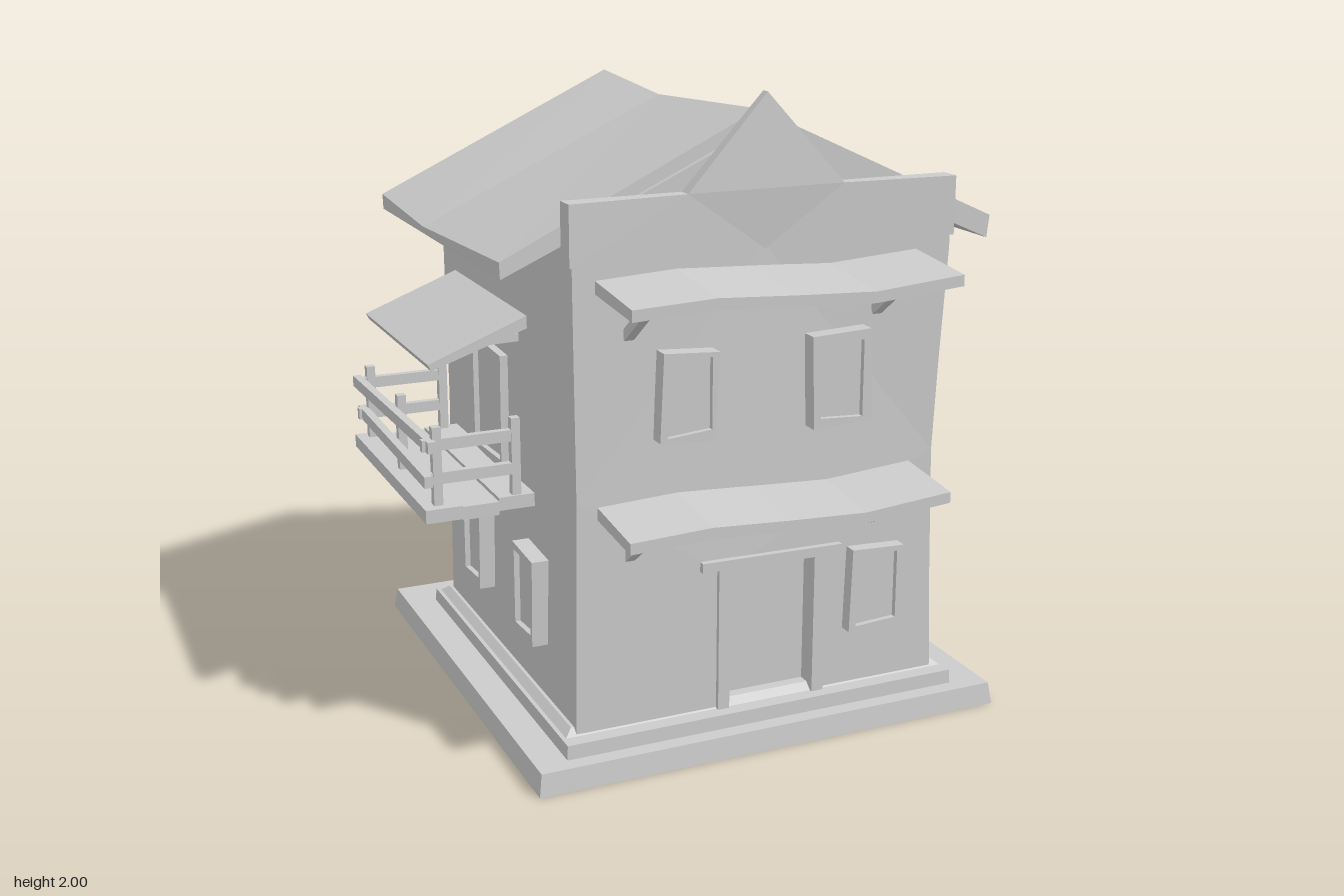
import * as THREE from 'three';

const mat = new THREE.MeshStandardMaterial({ color: 0xcccccc, flatShading: true, side: THREE.DoubleSide });

function add(parent, name, geometry) {
  const mesh = new THREE.Mesh(geometry, mat);
  mesh.name = name;
  parent.add(mesh);
  return mesh;
}

// Box given by its limits on each axis
function box(parent, name, [x0, x1], [y0, y1], [z0, z1]) {
  const m = add(parent, name, new THREE.BoxGeometry(x1 - x0, y1 - y0, z1 - z0));
  m.position.set((x0 + x1) / 2, (y0 + y1) / 2, (z0 + z1) / 2);
  return m;
}

// Box open at the bottom, whose top is drawn in by an inset
function taperedTray(parent, name, xs, ys, zs, inset) {
  const { geometry } = box(parent, name, xs, ys, zs), p = geometry.attributes.position;
  for (let i = 0; i < p.count; i++) {
    if (p.getY(i) < 0) continue;
    p.setX(i, p.getX(i) - Math.sign(p.getX(i)) * inset);
    p.setZ(i, p.getZ(i) - Math.sign(p.getZ(i)) * inset);
  }
  geometry.setIndex([...geometry.index.array].filter((_, i) => i < 18 || i > 23));
  geometry.clearGroups();
  geometry.computeVertexNormals();
}

const shapeOf = pts => new THREE.Shape(pts.map(p => new THREE.Vector2(...p)));

// Outline in x, y pulled from z0 to z1
function prism(parent, name, pts, z0, z1) {
  const g = new THREE.ExtrudeGeometry(shapeOf(pts), { depth: z1 - z0, bevelEnabled: false });
  g.translate(0, 0, z0);
  return add(parent, name, g);
}

// Push the front face back towards its middle, more so higher up
function hollowFront({ geometry }, amount) {
  const p = geometry.attributes.position;
  for (let i = 0; i < p.count; i++) {
    if (p.getZ(i) < 0.56) continue;
    const across = Math.max(0, 1 - Math.abs(p.getX(i) - 0.085) / 0.61);
    const up = THREE.MathUtils.clamp((p.getY(i) - 0.58) / 0.9, 0, 1);
    p.setZ(i, p.getZ(i) - amount * across * up);
  }
  geometry.computeVertexNormals();
}

// Closed solid through a row of matching cross-sections, with the triangles of its end caps
function loft(parent, name, sections, caps) {
  const n = sections[0].length, index = [];
  for (let s = 0; s < sections.length - 1; s++) for (let i = 0; i < n; i++) {
    const a = s * n + i, b = s * n + (i + 1) % n;
    index.push(a, b, b + n, a, b + n, a + n);
  }
  const last = (sections.length - 1) * n;
  for (const [a, b, c] of caps) index.push(a, c, b, last + a, last + b, last + c);
  const g = new THREE.BufferGeometry();
  g.setAttribute('position', new THREE.Float32BufferAttribute(sections.flat(2), 3));
  g.setIndex(index);
  const faceted = g.toNonIndexed();
  faceted.computeVertexNormals();
  add(parent, name, faceted);
}

// Straight square bar between two points
function bar(parent, name, a, b, w) {
  const A = new THREE.Vector3(...a), B = new THREE.Vector3(...b);
  const m = add(parent, name, new THREE.BoxGeometry(w, w, A.distanceTo(B)));
  m.position.copy(A).lerp(B, 0.5);
  m.lookAt(B);
}

// Slightly crooked framed window facing +z, centred on its group
function framedWindow(parent, name, w, h, skew = 0.01, depth = 0.055) {
  const g = new THREE.Group(), a = w / 2, b = h / 2, t = 0.024;
  g.name = name;
  const outer = shapeOf([[-a, -b + skew], [a - skew, -b], [a, b - skew], [-a + skew, b]]);
  outer.holes.push(new THREE.Path([[-a + t, -b + t], [-a + t, b - t], [a - t, b - t], [a - t, -b + t + skew]]
    .map(p => new THREE.Vector2(...p))));
  add(g, 'windowFrame', new THREE.ExtrudeGeometry(outer, { depth, bevelEnabled: false })).position.z = -0.01;
  box(g, 'windowPane', [-a + 0.012, a - 0.012], [-b + 0.017, b - 0.017], [-0.01, depth - 0.028]);
  parent.add(g);
  return g;
}

export function createModel() {
  const house = new THREE.Group();
  house.name = 'house';

  // Stepped base, hollow underneath
  taperedTray(house, 'baseSlab', [-0.69, 0.87], [0, 0.07], [-0.855, 0.705], 0.01);
  taperedTray(house, 'plinth', [-0.58, 0.745], [0.07, 0.115], [-0.69, 0.645], 0.002);
  taperedTray(house, 'plinthStep', [-0.565, 0.735], [0.115, 0.135], [-0.67, 0.595], 0.025);

  // Walls with a gently waisted right side, and a doorway in the front layer
  const right = [[0.7, 0.1], [0.685, 0.45], [0.672, 0.86], [0.685, 1.15], [0.705, 1.5]];
  const left = [[-0.525, 1.5], [-0.52, 0.85], [-0.53, 0.1]];
  prism(house, 'walls', [...right, [0.705, 1.58], [0.5, 1.65], [-0.37, 1.66], [-0.525, 1.59], ...left], -0.635, 0.53);
  hollowFront(prism(house, 'frontWall', [[0.27, 0.1], ...right, [0.705, 1.56], [0.085, 1.56], [-0.525, 1.56], ...left,
    [-0.05, 0.1], [-0.05, 0.57], [0.27, 0.57]], 0.53, 0.59), 0.025);

  // Door frame
  const door = new THREE.Group();
  door.name = 'door';
  box(door, 'leftPost', [0.258, 0.298], [0.115, 0.58], [0.53, 0.605]);
  box(door, 'rightPost', [-0.068, -0.03], [0.115, 0.58], [0.53, 0.605]);
  box(door, 'lintel', [-0.125, 0.35], [0.572, 0.603], [0.54, 0.61]).rotation.z = -0.015;
  box(door, 'doorPanel', [-0.04, 0.265], [0.1, 0.575], [0.5, 0.535]);
  house.add(door);

  // Pitched roof: the top sags in the middle, the underside stays straight
  const roofSection = (zEave, zRidge, ridge, eave) => [
    [0.88, eave, zEave], [0.085, ridge, zRidge], [-0.72, eave - 0.015, zEave],
    [-0.718, 1.515, zEave], [0.085, 1.862, zRidge], [0.872, 1.51, zEave]];
  loft(house, 'roof',
    [roofSection(-0.67, -0.67, 1.945, 1.58), roofSection(-0.2, -0.2, 1.91, 1.552), roofSection(0.54, 0.52, 1.945, 1.58)],
    [[0, 1, 4], [0, 4, 5], [1, 2, 3], [1, 3, 4]]);

  // Front parapet rising to a point, and the gable wall behind it
  prism(house, 'frontGable', [[0.7, 1.55], [0.7, 1.62], [0.085, 1.9], [-0.525, 1.62], [-0.525, 1.55]], 0.46, 0.545);
  hollowFront(prism(house, 'parapet', [[-0.54, 1.545], [0.085, 1.545], [0.705, 1.545], [0.705, 1.725],
    [0.335, 1.725], [0.085, 2], [-0.17, 1.725], [-0.54, 1.725]], 0.545, 0.612), 0.038);

  // Wavy awnings over both floors, each on two brackets
  const wave = [[-0.455, 0], [-0.2, 0.01], [0.05, -0.005], [0.3, -0.017], [0.59, 0.006]];
  for (const [name, y, zFront] of [['upperAwning', 1.447, 0.855], ['lowerAwning', 0.775, 0.835]]) {
    const awning = new THREE.Group();
    awning.name = name;
    loft(awning, 'awningBoard', wave.map(([x, d]) => [
      [x, y + 0.016 + d, 0.56], [x, y + 0.055 + d, 0.56], [x, y + 0.026 + d, zFront], [x, y - 0.008 + d, zFront]]),
      [[0, 1, 2], [0, 2, 3]]);
    for (const x of [-0.353, 0.46]) {
      bar(awning, 'bracket', [x, y - 0.118, 0.58], [x, y, 0.74], 0.03);
    }
    house.add(awning);
  }

  // Front windows
  for (const [x, y, s] of [[-0.18, 1.138, 0.012], [0.323, 1.138, -0.008], [0.465, 0.44, 0.008]]) {
    framedWindow(house, 'frontWindow', 0.19, 0.28, s).position.set(x, y, 0.588);
  }

  // Side windows
  for (const [z, y, s] of [[0.305, 1.195, -0.01], [-0.24, 1.21, 0.01], [0.285, 0.555, -0.012], [-0.24, 0.565, 0.01]]) {
    const w = framedWindow(house, 'leftWindow', 0.19, 0.28, s);
    w.position.set(y > 1 ? 0.682 : 0.679, y, z);
    w.rotation.y = Math.PI / 2;
  }
  for (const z of [0.26, -0.25]) {
    const w = framedWindow(house, 'rightWindow', 0.19, 0.29);
    w.position.set(-0.533, 0.455, z);
    w.rotation.y = -Math.PI / 2;
  }

  // Balcony: door, planks, posts and rails
  const balcony = new THREE.Group();
  balcony.name = 'balcony';
  const balconyDoor = framedWindow(balcony, 'balconyDoor', 0.3, 0.39, 0.01, 0.035);
  balconyDoor.position.set(-0.523, 0.965, -0.14);
  balconyDoor.rotation.y = -Math.PI / 2;
  for (let i = 0; i < 3; i++) {
    const x = -0.88 + i * 0.118, y = 0.73 + (i % 2 ? -0.004 : 0.004);
    box(balcony, 'plank', [x, x + 0.115], [y, y + 0.042], [-0.55 + 0.01 * i, 0.28 - 0.012 * i]);
  }
  for (const z of [-0.51, 0.235]) {
    for (const x of [-0.83, -0.583]) box(balcony, 'railPost', [x - 0.014, x + 0.014], [0.76, 1.02], [z - 0.014, z + 0.014]);
    for (const y of [0.86, 0.965]) box(balcony, 'endRail', [-0.875, -0.57], [y - 0.018, y + 0.018], [z - 0.012, z + 0.012]);
  }
  box(balcony, 'railPost', [-0.844, -0.816], [0.76, 1.02], [-0.152, -0.124]);
  for (const y of [0.86, 0.965]) {
    box(balcony, 'sideRail', [-0.872, -0.846], [y - 0.018, y + 0.018], [-0.545, 0.27]).rotation.y = y > 0.9 ? 0.02 : -0.015;
  }
  house.add(balcony);

  // Sloping canopy above the balcony
  const canopy = new THREE.Group();
  canopy.name = 'balconyCanopy';
  prism(canopy, 'canopyBoard', [[-0.825, 1.18], [-0.51, 1.285], [-0.51, 1.325], [-0.835, 1.2]], -0.51, 0.2);
  for (const z of [-0.4, 0.11]) {
    bar(canopy, 'canopyStrut', [-0.51, 1.235, z], [-0.69, 1.23, z], 0.024);
  }
  house.add(canopy);

  return house;
}
